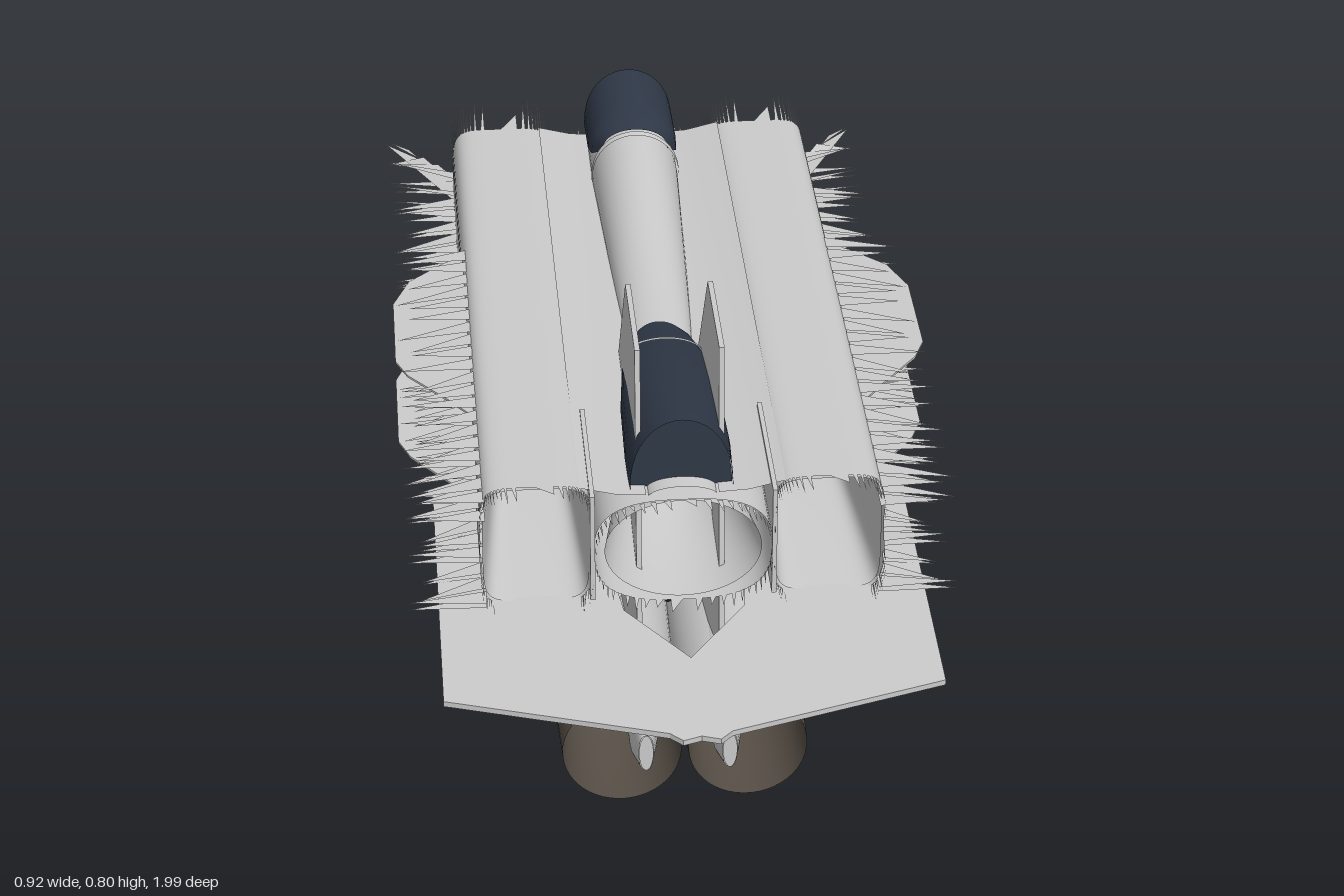
import * as THREE from 'three';

const mat = (color) => new THREE.MeshStandardMaterial({ color, side: THREE.DoubleSide });
const GREY = mat(0xcccccc), GLASS = mat(0x2f3847), BLACK = mat(0x222222), METAL = mat(0x564e45), WHITE = mat(0xe6e6e6);

export function createModel() {
  const model = new THREE.Group();
  const add = (name, geometry, material = GREY, x = 0, y = 0, z = 0) => {
    const mesh = new THREE.Mesh(geometry, material);
    mesh.name = name;
    mesh.position.set(x, y, z);
    model.add(mesh);
    return mesh;
  };

  // Skin through cross-sections; each section is a list of [x, y, z]
  const loft = (sections, closed = true) => {
    const n = sections[0].length, index = [];
    for (let i = 0; i < sections.length - 1; i++) {
      for (let j = 0; j < (closed ? n : n - 1); j++) {
        const a = i * n + j, b = i * n + (j + 1) % n;
        index.push(a, a + n, b, b, a + n, b + n);
      }
    }
    const g = new THREE.BufferGeometry();
    g.setAttribute('position', new THREE.Float32BufferAttribute(sections.flat(2), 3));
    g.setIndex(index);
    g.computeVertexNormals();
    return g;
  };

  // Superellipse ring: power 2 is an ellipse, higher is squarer
  const ring = (cx, cy, z, rx, ry, power = 2, n = 48) => Array.from({ length: n }, (_, i) => {
    const a = (i + 0.5) / n * Math.PI * 2, c = Math.cos(a), s = Math.sin(a);
    return [cx + rx * Math.sign(c) * Math.abs(c) ** (2 / power), cy + ry * Math.sign(s) * Math.abs(s) ** (2 / power), z];
  });
  // Open arch from the base line up to the top
  const arch = (z, half, base, top, n = 20) => Array.from({ length: n + 1 }, (_, i) => {
    const a = i / n * Math.PI;
    return [half * Math.cos(a), base + (top - base) * Math.abs(Math.sin(a)) ** 0.85, z];
  });
  // Flat end wall filling an arch
  const archWall = (...section) => new THREE.ShapeGeometry(new THREE.Shape(arch(0, ...section).map(([x, y]) => new THREE.Vector2(x, y))));

  // Flat horizontal panel from [x, z] corners, and upright panel from [z, y] corners
  const flatPanel = (points, depth) => {
    const g = new THREE.ExtrudeGeometry(new THREE.Shape(points.map(([x, z]) => new THREE.Vector2(x, z))), { depth, bevelEnabled: false });
    return g.rotateX(Math.PI / 2);
  };
  const uprightPanel = (points, depth) => {
    const g = new THREE.ExtrudeGeometry(new THREE.Shape(points.map(([z, y]) => new THREE.Vector2(-z, y))), { depth, bevelEnabled: false });
    return g.rotateY(Math.PI / 2).translate(-depth / 2, 0, 0);
  };
  const triangles = (points) => {
    const g = new THREE.BufferGeometry();
    g.setAttribute('position', new THREE.Float32BufferAttribute(points.flat(), 3));
    g.computeVertexNormals();
    return g;
  };
  // Thin spikes standing on an open rim
  const rimSpikes = (points, length) => triangles(points.flatMap(([x, y, z], i) => {
    const q = points[(i + 1) % points.length];
    const l = length * (0.45 + 0.55 * Math.abs(Math.sin(i * 2.3)));
    return [[x, y, z], [(x + q[0]) / 2, (y + q[1]) / 2, z], [x, y, z + l]];
  }));

  // Central body, its closed throat and the rising spine
  add('centralBody', loft([[-0.69, 0.147, 0.1], [0, 0.15, 0.1], [0.62, 0.147, 0.098]]
    .map(([z, rx, ry]) => ring(0, 0.475, z, rx, ry, 2.8))));
  add('bodyThroat', loft([[0.62, 0.13, 0.093], [0.45, 0.1, 0.085], [0.25, 0.05, 0.045], [0.1, 0.001, 0.001]]
    .map(([z, rx, ry]) => ring(0, 0.478, z, rx, ry))));
  add('bodyFrontSpikes', rimSpikes(ring(0, 0.475, 0.62, 0.145, 0.097, 2.8), 0.04));
  add('bodyRearSpikes', rimSpikes(ring(0, 0.475, -0.69, 0.14, 0.1, 2.8), -0.06));
  add('spine', loft([[-0.69, 0.08, 0.675], [-0.49, 0.08, 0.67], [-0.2, 0.07, 0.635], [0.1, 0.058, 0.6], [0.6, 0.06, 0.585]]
    .map(([z, w, top]) => arch(z, w, 0.56, top)), false));

  // Canopies, their pale bands and the rear block
  add('frontCanopy', loft([[0.585, 0.085, 0.57, 0.703], [0.5, 0.088, 0.58, 0.69], [0.35, 0.085, 0.585, 0.664],
    [0.2, 0.072, 0.585, 0.63], [0.12, 0.052, 0.585, 0.608], [0.075, 0.025, 0.585, 0.6]].map((s) => arch(...s)), false), GLASS);
  add('frontCanopyBulkhead', archWall(0.084, 0.57, 0.7), GLASS, 0, 0, 0.57);
  add('frontCanopyBand', loft([arch(0.205, 0.075, 0.585, 0.636), arch(0.193, 0.073, 0.585, 0.633)], false), WHITE);
  add('rearCanopy', loft([[-0.7, 0.083, 0.59, 0.702], [-0.58, 0.083, 0.6, 0.692], [-0.53, 0.079, 0.615, 0.684], [-0.5, 0.06, 0.635, 0.677]]
    .map((s) => arch(...s)), false), GLASS);
  add('rearCanopyBulkhead', archWall(0.082, 0.59, 0.7), GLASS, 0, 0, -0.69);
  add('rearCanopyBand', loft([arch(-0.495, 0.082, 0.58, 0.676), arch(-0.482, 0.081, 0.58, 0.674)], false), WHITE);
  add('rearBlock', new THREE.BoxGeometry(0.14, 0.035, 0.05), BLACK, 0, 0.592, -0.715);

  // Centre leg
  add('centreLeg', new THREE.CylinderGeometry(0.012, 0.012, 0.18, 16), GREY, 0, 0.29, 0.3);
  add('centreLegTip', new THREE.CylinderGeometry(0.018, 0.006, 0.045, 16), BLACK, 0, 0.185, 0.3);

  // Half outline of the tailplane, with a notch at its middle
  const half = [[0, 0.78], [0.1, 0.64], [0.12, 0.45], [0.28, 0.3], [0.405, 0.3], [0.405, 0.87], [0.05, 0.98], [0.03, 1], [0, 0.99]];

  for (const s of [1, -1]) {
    const side = s > 0 ? 'left' : 'right';
    const mirror = (points) => points.map(([x, z]) => [s * x, z]);
    add(side + 'Tailplane', flatPanel(mirror(half), 0.01), GREY, 0, 0.393, 0).rotation.x = 0.03;

    // Sloping deck bridging the spine and the side duct
    add(side + 'Deck', loft([0.6, 0, -0.69].map((z) => [[s * 0.06, 0.572, z], [s * 0.11, 0.575, z], [s * 0.17, 0.59, z]]), false));

    // Square side duct, its tapering throat and the dark face inside
    const duct = [[0.6, 0.092, 0.4825, 0.1125], [0, 0.093, 0.477, 0.117], [-0.69, 0.093, 0.47, 0.12]]
      .map(([z, w, cy, h]) => ring(s * 0.242, cy, z, w, h, 5.5, 64));
    add(side + 'Duct', loft(duct));
    add(side + 'DuctThroat', loft([ring(s * 0.242, 0.4825, 0.6, 0.088, 0.108, 5.5), ring(s * 0.235, 0.475, 0.2, 0.058, 0.07, 6),
      ring(s * 0.228, 0.475, -0.6, 0.046, 0.05, 6)]));
    add(side + 'DuctFace', new THREE.BoxGeometry(0.09, 0.1, 0.02), BLACK, s * 0.228, 0.475, -0.6);
    add(side + 'DuctDot', new THREE.SphereGeometry(0.004, 8, 6), WHITE, s * 0.23, 0.475, -0.588);
    add(side + 'DuctFrontSpikes', rimSpikes(duct[0], 0.05));
    add(side + 'DuctRearSpikes', rimSpikes(duct[2], -0.12));
    add(side + 'DuctSplitter', new THREE.BoxGeometry(0.008, 0.2, 0.28), GREY, s * 0.15, 0.49, 0.49);

    // Bulged side plates, the lower one rising to the rear
    const bulge = mirror([[0.3, 0.36], [0.37, 0.26], [0.44, 0.17], [0.46, 0.12], [0.46, -0.08], [0.43, -0.16], [0.37, -0.22], [0.3, -0.27]]);
    add(side + 'UpperSidePlate', flatPanel(bulge, 0.004), GREY, 0, 0.562, 0);
    add(side + 'LowerSidePlate', flatPanel(bulge, 0.004), GREY, 0, 0.403, 0).rotation.x = 0.03;

    // Rows of flat spikes: the upper ones start at the bulge, the lower ones run the full length
    const spikes = [];
    const row = (count, start, height, spread) => {
      for (let i = 0; i < count; i++) {
        const z = start + i * 0.043, y = height(z), x = 0.44 + 0.015 * Math.cos(i * 2.1);
        spikes.push([s * 0.325, y, z - 0.015], [s * 0.325, y, z + 0.022], [s * x, y + spread * Math.sin(i * 1.7), z + 0.03]);
      }
    };
    row(20, -0.23, () => 0.575, 0.012);
    row(20, -0.22, () => 0.545, 0.015);
    row(31, -0.69, (z) => 0.402 - 0.04 * z, 0.01);
    row(31, -0.68, (z) => 0.417 - 0.04 * z, 0.018);
    // Swept fan trailing behind the duct
    for (let i = 0; i < 8; i++) {
      const z = -0.7 - i * 0.034, x = 0.22 + i * 0.028;
      spikes.push([s * x, 0.424, z], [s * (x - 0.02), 0.424, z + 0.04], [s * 0.455, 0.42 + 0.02 * Math.sin(i * 1.9), z - 0.03 + i * 0.002]);
    }
    spikes.push([s * 0.2, 0.424, -0.69], [s * 0.32, 0.424, -0.69], [s * 0.46, 0.41, -0.99]);
    add(side + 'SideSpikes', triangles(spikes));

    // Upright fin with a pod at its foot
    add(side + 'Fin', uprightPanel([[0.58, 0.2], [0.53, 0.805], [0.31, 0.805], [-0.155, 0.2]], 0.009), GREY, s * 0.069);
    add(side + 'FinRoot', loft([[0.2, 0.02], [0.3, 0.015], [0.4, 0.011]].map(([y, w]) =>
      ring(0, 0, 0, 1, 1, 2, 24).map(([a, b]) => [s * 0.07 + w * a, y, (0.22 - (0.4 - y) * 0.2) + 0.32 * b]))));
    add(side + 'FinPod', loft([[0.735, 0.012, 0.035, 0.15], [0.67, 0.024, 0.055, 0.145], [0.5, 0.026, 0.06, 0.15], [0.2, 0.01, 0.03, 0.19]]
      .map(([z, rx, ry, cy]) => ring(s * 0.07, cy, z, rx, ry, 2.5, 24))));
    add(side + 'FinPodCap', new THREE.CircleGeometry(1, 24).scale(0.012, 0.035, 1), GREY, s * 0.07, 0.15, 0.735);

    // Engine barrel, nozzle and lining
    add(side + 'Engine', loft([[0.51, 0.105], [0.2, 0.11], [-0.33, 0.11]].map(([z, r]) => ring(s * 0.107, 0.113, z, r, r))));
    add(side + 'Nozzle', loft([[0.67, 0.1], [0.6, 0.103], [0.51, 0.106]].map(([z, r]) => ring(s * 0.106, 0.111, z, r, r))), METAL);
    add(side + 'NozzleLining', loft([[0.67, 0.1], [0.5, 0.09], [0.2, 0.02], [0.19, 0.001]].map(([z, r]) => ring(s * 0.106, 0.111, z, r, r))), METAL);
    add(side + 'EngineRearSpikes', rimSpikes(ring(s * 0.107, 0.113, -0.33, 0.108, 0.108), -0.025));

    // Thin shelves along the engine, spreading apart to the rear
    add(side + 'EngineLowerShelf', flatPanel(mirror([[0.15, 0.5], [0.19, 0.45], [0.225, 0.25], [0.225, -0.36], [0.15, -0.33]]), 0.006),
      GREY, 0, 0.043, 0).rotation.x = -0.025;
    add(side + 'EngineUpperShelf', flatPanel(mirror([[0.1, 0.4], [0.18, 0.32], [0.225, 0.2], [0.225, -0.35], [0.1, -0.33]]), 0.006),
      GREY, 0, 0.214, 0).rotation.x = 0.03;

    // Wheel: rounded tyre, hub and axle
    const tyre = [[0.05, -0.018], [0.068, -0.023], [0.079, -0.018], [0.084, -0.008], [0.084, 0.008], [0.079, 0.018], [0.068, 0.023], [0.05, 0.018], [0.05, -0.018]];
    const turn = (g) => g.rotateZ(Math.PI / 2);
    add(side + 'Tyre', turn(new THREE.LatheGeometry(tyre.map(([r, h]) => new THREE.Vector2(r, h)), 40)), BLACK, s * 0.278, 0.188, 0.257);
    add(side + 'Hub', turn(new THREE.CylinderGeometry(0.051, 0.051, 0.032, 32)), GREY, s * 0.278, 0.188, 0.257);
    add(side + 'Axle', turn(new THREE.CylinderGeometry(0.01, 0.01, 0.05, 12)), GREY, s * 0.272, 0.188, 0.257);

    // Leg and brace
    const rod = (name, a, b, r) => add(name, new THREE.TubeGeometry(new THREE.LineCurve3(new THREE.Vector3(...a), new THREE.Vector3(...b)), 1, r, 12));
    rod(side + 'Leg', [s * 0.228, 0.37, 0.22], [s * 0.245, 0.22, 0.255], 0.014);
    rod(side + 'LegBrace', [s * 0.225, 0.37, 0.34], [s * 0.245, 0.26, 0.255], 0.007);
  }
  return model;
}
